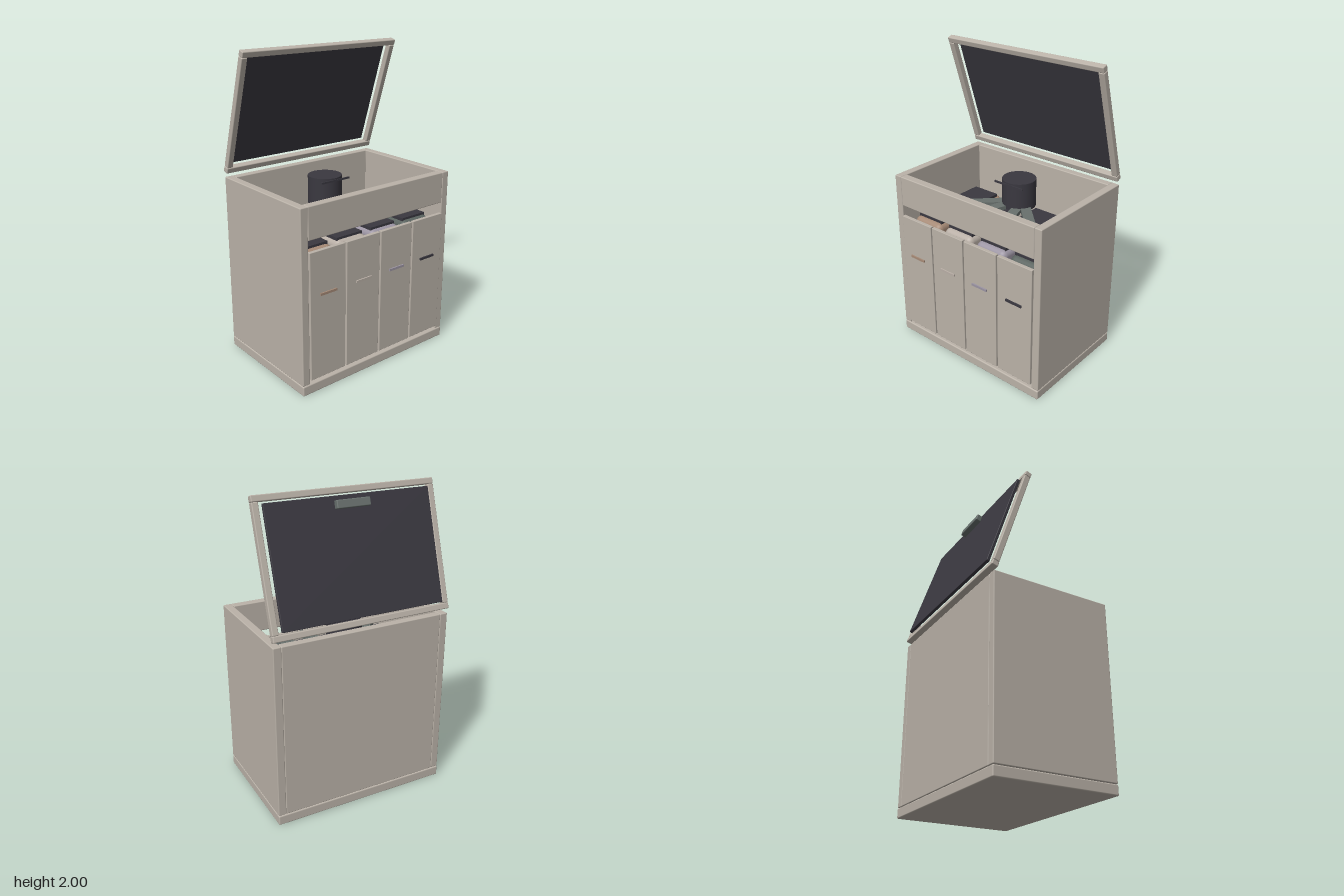
import * as THREE from 'three';
import { RoundedBoxGeometry } from 'three/addons/geometries/RoundedBoxGeometry.js';

const mat = (name, color) => {
  const m = new THREE.MeshStandardMaterial({ color });
  m.name = name;
  return m;
};

export function createModel() {
  const shell = mat('warm grey shell', 0xbab2a8);
  const dark = mat('charcoal', 0x3a3840);
  const steel = mat('grey green', 0x68706d);
  const copper = mat('copper brown', 0xa68a76);
  const cream = mat('cream grey', 0xb9afa6);
  const lavender = mat('lavender grey', 0x9c95a3);
  const slate = mat('slate green', 0x5a635f);

  const model = new THREE.Group();
  model.name = 'sortingCabinet';

  const add = (parent, name, geometry, material, x, y, z) => {
    const mesh = new THREE.Mesh(geometry, material);
    mesh.name = name;
    mesh.position.set(x, y, z);
    parent.add(mesh);
    return mesh;
  };
  // box given by its limits, softly rounded when r > 0
  const block = (parent, name, material, [x0, x1], [y0, y1], [z0, z1], r = 0) => {
    const size = [x1 - x0, y1 - y0, z1 - z0];
    const geometry = r ? new RoundedBoxGeometry(...size, 3, r) : new THREE.BoxGeometry(...size);
    return add(parent, name, geometry, material, (x0 + x1) / 2, (y0 + y1) / 2, (z0 + z1) / 2);
  };

  // cabinet shell
  block(model, 'base', shell, [-0.595, 0.595], [0, 0.065], [-0.402, 0.402], 0.008);
  block(model, 'rightSide', shell, [-0.595, -0.543], [0.067, 1.195], [-0.4, 0.4], 0.006);
  block(model, 'leftSide', shell, [0.543, 0.595], [0.067, 1.195], [-0.4, 0.4], 0.006);
  block(model, 'backPanel', shell, [-0.543, 0.543], [0.067, 1.195], [-0.4, -0.35], 0.006);
  block(model, 'frontRail', shell, [-0.543, 0.543], [0.99, 1.195], [0.345, 0.4], 0.006);

  // four bins, each with a charcoal lid, a drawer front and a coloured pull
  const bins = [
    [-0.412, copper, copper], [-0.14, cream, cream],
    [0.136, lavender, lavender], [0.409, slate, dark],
  ];
  bins.forEach(([x, color, pull], i) => {
    const bin = new THREE.Group();
    bin.name = 'bin' + (i + 1);
    model.add(bin);
    block(bin, 'binBody', color, [x - 0.12, x + 0.12], [0.1, 0.885], [-0.318, 0.318], 0.04);
    block(bin, 'binLid', dark, [x - 0.1, x + 0.1], [0.87, 0.9], [-0.28, 0.28]);
    const fx = (i - 1.5) * 0.273;
    block(bin, 'drawerFront', shell, [fx - 0.131, fx + 0.131], [0.095, 0.92], [0.385, 0.41], 0.003);
    block(bin, 'drawerPull', pull, [fx - 0.06, fx + 0.06], [0.638, 0.653], [0.408, 0.419]);
  });

  // sorting hub with four chutes fanning forward
  const sorter = new THREE.Group();
  sorter.name = 'sorter';
  model.add(sorter);
  add(sorter, 'hub', new THREE.CylinderGeometry(0.112, 0.112, 0.19, 40), dark, 0, 1.065, -0.14);
  block(sorter, 'hubBar', dark, [-0.115, 0.115], [1.138, 1.15], [-0.032, -0.024]);
  for (const side of [-1, 1]) {
    // tip x, tip z, angle away from the front, length
    for (const [tx, tz, angle, length] of [[0.366, 0.172, 0.8, 0.42], [0.143, 0.226, 0.318, 0.34]]) {
      const chute = add(sorter, 'chute', new THREE.BoxGeometry(0.067, 0.025, length), steel,
        side * (tx - Math.sin(angle) * length / 2), 0.977, tz - Math.cos(angle) * length / 2);
      chute.rotation.y = side * angle;
    }
  }

  // open lid: frame, panel behind it and a grip
  const lid = new THREE.Group();
  lid.name = 'lid';
  lid.position.set(0, 1.243, -0.388);
  lid.rotation.x = 0.313;
  model.add(lid);
  for (const y of [0, 0.772]) {
    block(lid, 'lidCrossBar', shell, [-0.595, 0.595], [y - 0.019, y + 0.019], [-0.021, 0.021], 0.006);
  }
  for (const x of [-0.575, 0.575]) {
    block(lid, 'lidSideBar', shell, [x - 0.02, x + 0.02], [0.019, 0.753], [-0.02, 0.02], 0.006);
  }
  block(lid, 'lidPanel', dark, [-0.54, 0.54], [0.03, 0.74], [-0.04, -0.02], 0.004);
  block(lid, 'lidGrip', steel, [-0.11, 0.11], [0.662, 0.712], [-0.077, -0.04], 0.006);

  return model;
}
